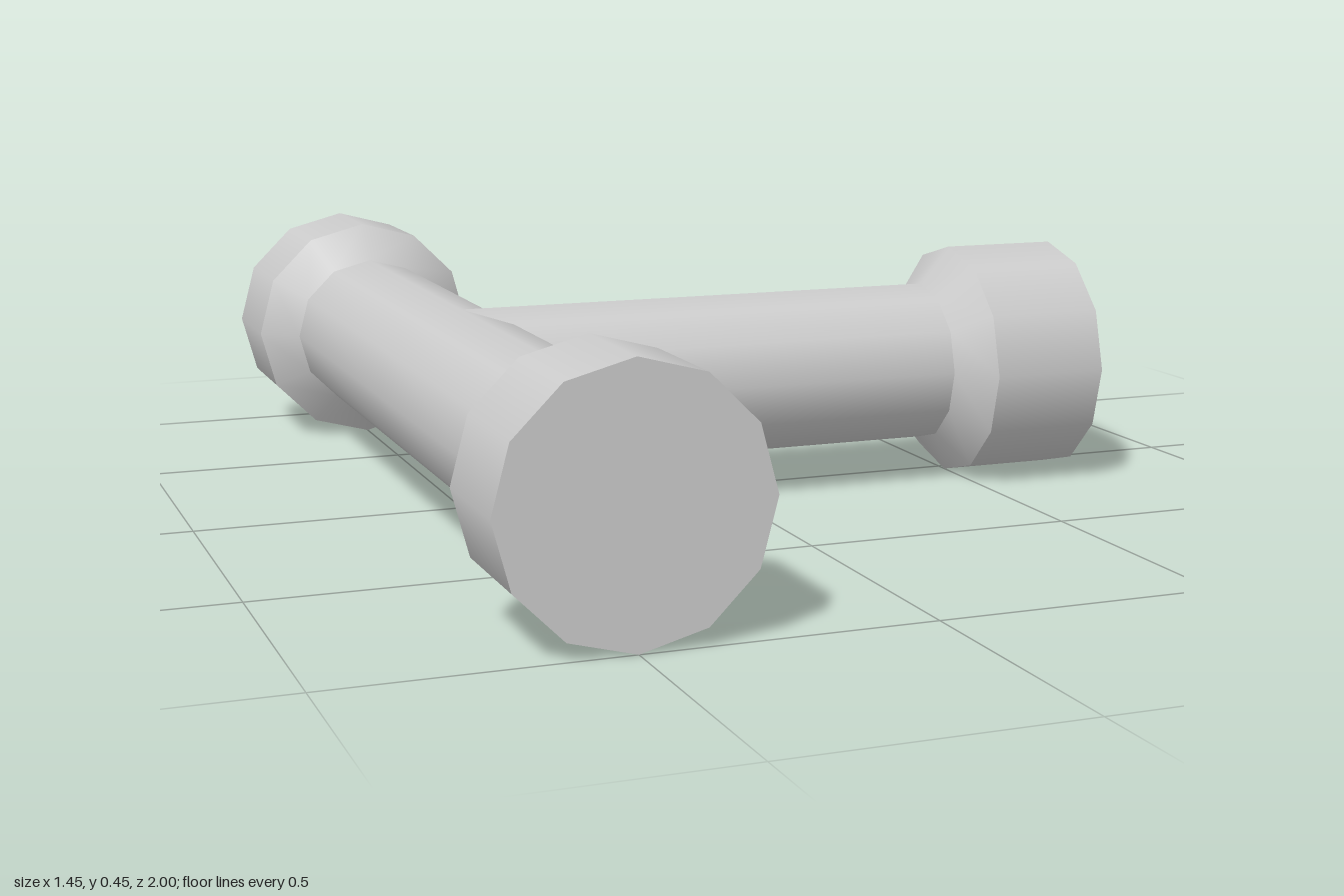
import * as THREE from 'three';

const SIDES = 12, PIPE_R = 0.155, COLLAR_R = 0.226;
const COLLAR_LEN = 0.225, TAPER_LEN = 0.06;

export function createModel() {
  const model = new THREE.Group();
  model.name = 'pipeTee';
  const material = new THREE.MeshStandardMaterial({ color: 0xcccccc });

  // Cylinder or cone section along +y from y0 to y1
  function section(parent, name, y0, y1, r0, r1, open) {
    const geometry = new THREE.CylinderGeometry(r1, r0, y1 - y0, SIDES, 1, open);
    geometry.translate(0, (y0 + y1) / 2, 0);
    const mesh = new THREE.Mesh(geometry, material);
    mesh.name = name;
    parent.add(mesh);
  }

  // One arm: pipe, flared taper and closed collar
  function arm(name, length) {
    const group = new THREE.Group();
    group.name = name;
    const collarStart = length - COLLAR_LEN;
    const taperStart = collarStart - TAPER_LEN;
    section(group, 'pipe', 0, taperStart, PIPE_R, PIPE_R, true);
    section(group, 'taper', taperStart, collarStart, PIPE_R, COLLAR_R, true);
    section(group, 'collar', collarStart, length, COLLAR_R, COLLAR_R, false);
    model.add(group);
    return group;
  }

  // Straight run along z
  for (const side of [1, -1]) {
    const run = arm(side > 0 ? 'frontArm' : 'backArm', 1);
    run.rotation.x = side * Math.PI / 2;
    run.position.set(-0.5, COLLAR_R, 0);
  }

  // Side branch along +x, set slightly forward of the middle
  const branch = arm('branchArm', 1.225);
  branch.rotation.z = -Math.PI / 2;
  branch.position.set(-0.5, COLLAR_R, 0.025);

  return model;
}
